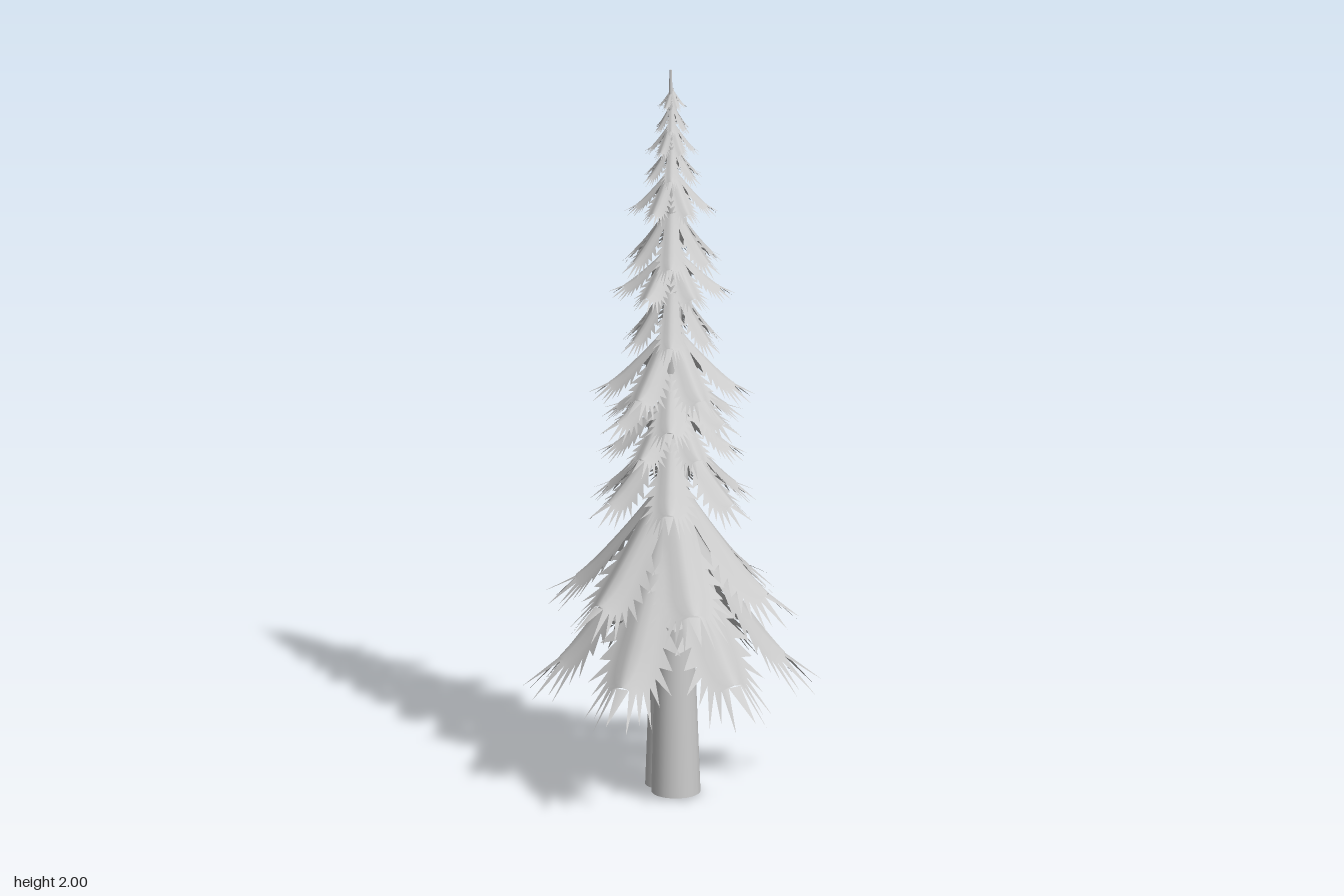
import * as THREE from 'three';

const SHAFT = 8, ARC = 6, ROWS = SHAFT + ARC, COLS = 6;

// A drooping, arched bough with a star of spikes round its end; grows along +x.
function boughGeometry(top, bottom, r0, R) {
  const pos = [], idx = [];
  // a runs from trunk (0) to tip (1), b runs sideways in units of R
  const put = (a, b) => {
    const arch = 0.22 * R * b * b / (b * b + 0.02);
    const fall = a + 0.6 * a ** 3 * (1 - a);
    pos.push(r0 + (R - r0) * a ** 1.25, top - (top - bottom) * fall - arch, b * R);
    return pos.length / 3 - 1;
  };
  // outline: a widening shaft closed by a rounded end
  const row = i => {
    if (i < SHAFT) {
      const s = i / SHAFT;
      return { a: 0.6 * s, width: 0.09 + 0.09 * s, phi: 0 };
    }
    const phi = (i - SHAFT) / ARC * Math.PI / 2;
    return { a: 0.6 + 0.18 * Math.sin(phi), width: 0.18 * Math.cos(phi), phi };
  };
  for (let i = 0; i <= ROWS; i++) {
    const { a, width } = row(i);
    for (let j = 0; j <= COLS; j++) put(a, width * (2 * j / COLS - 1));
  }
  const at = (i, j) => i * (COLS + 1) + j;
  for (let i = 0; i < ROWS; i++) {
    for (let j = 0; j < COLS; j++) {
      idx.push(at(i, j), at(i, j + 1), at(i + 1, j));
      idx.push(at(i, j + 1), at(i + 1, j + 1), at(i + 1, j));
    }
  }
  // spikes fanning round the rim, alternating long and short
  for (let i = SHAFT - 3; i < ROWS - 1; i++) {
    const p = row(i), q = row(i + 1);
    const turn = (p.phi + q.phi) / 2;
    const size = i % 2 ? 0.75 : 1.05;
    const a = (p.a + q.a) / 2 + size * (0.03 + 0.16 * Math.sin(turn));
    const b = (p.width + q.width) / 2 + 0.13 * size * Math.cos(turn);
    idx.push(at(i, COLS), put(a, b), at(i + 1, COLS));
    idx.push(at(i, 0), at(i + 1, 0), put(a, -b));
  }
  idx.push(at(ROWS - 1, 0), at(ROWS - 1, COLS), put(1, 0));

  const geo = new THREE.BufferGeometry();
  geo.setAttribute('position', new THREE.Float32BufferAttribute(pos, 3));
  geo.setIndex(idx);
  geo.computeVertexNormals();
  return geo;
}

// A tapering stem standing on y = 0 whose foot is set off sideways from its head.
function stem(name, rTop, rFoot, height, foot, head, material) {
  const geo = new THREE.CylinderGeometry(rTop, rFoot, height, 20, 4);
  geo.translate(0, height / 2, 0);
  const p = geo.attributes.position;
  for (let i = 0; i < p.count; i++) {
    const t = p.getY(i) / height;
    p.setX(i, p.getX(i) + THREE.MathUtils.lerp(foot[0], head[0], t));
    p.setZ(i, p.getZ(i) + THREE.MathUtils.lerp(foot[1], head[1], t));
  }
  geo.computeVertexNormals();
  const mesh = new THREE.Mesh(geo, material);
  mesh.name = name;
  return mesh;
}

export function createModel() {
  const tree = new THREE.Group();
  tree.name = 'firTree';
  const bark = new THREE.MeshStandardMaterial({ color: 0xcccccc });
  const needles = new THREE.MeshStandardMaterial({ color: 0xcccccc, side: THREE.DoubleSide });

  // trunk with a smaller buttress growing out of its back
  tree.add(stem('trunk', 0.003, 0.065, 2, [0, 0.015], [-0.005, 0], bark));
  tree.add(stem('trunkButtress', 0.014, 0.05, 1.1, [0.018, -0.05], [0, -0.026], bark));

  // tiers of six boughs: top y, tip y, tip radius, turn in degrees
  const tiers = [
    [0.80, 0.295, 0.395, 39],
    [0.87, 0.515, 0.35, 0],
    [1.02, 0.79, 0.25, 15],
    [1.10, 0.935, 0.20, 45],
    [1.19, 1.02, 0.215, 15],
    [1.29, 1.10, 0.22, 45],
    [1.42, 1.235, 0.152, 15],
    [1.51, 1.38, 0.168, 45],
    [1.63, 1.455, 0.152, 15],
    [1.73, 1.605, 0.125, 45],
    [1.80, 1.695, 0.09, 15],
    [1.86, 1.77, 0.075, 45],
    [1.91, 1.83, 0.055, 15],
    [1.95, 1.895, 0.042, 45],
  ];
  tiers.forEach(([top, bottom, R, turn], t) => {
    const tier = new THREE.Group();
    tier.name = `boughTier${t + 1}`;
    const geo = boughGeometry(top, bottom, 0.045 * (1 - top / 2), R);
    for (let k = 0; k < 6; k++) {
      const bough = new THREE.Mesh(geo, needles);
      bough.name = 'bough';
      bough.rotation.y = -THREE.MathUtils.degToRad(turn + 60 * k);
      tier.add(bough);
    }
    tree.add(tier);
  });
  return tree;
}
